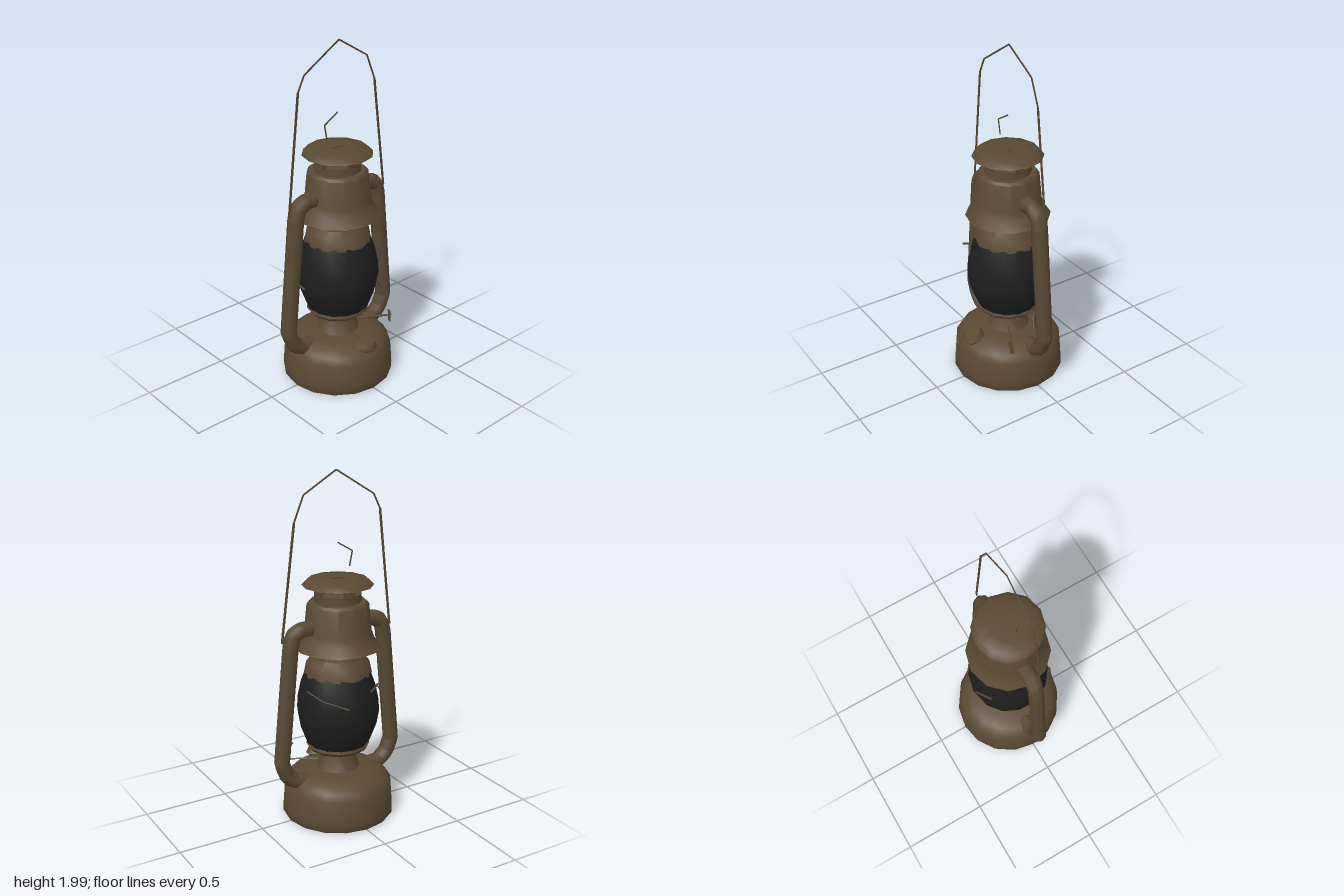
import * as THREE from 'three';
import { toCreasedNormals } from 'three/addons/utils/BufferGeometryUtils.js';

const metal = new THREE.MeshStandardMaterial({ color: 0x594933, side: THREE.DoubleSide });
metal.name = 'weathered brown metal';
const glass = new THREE.MeshStandardMaterial({ color: 0x1e1e1e, side: THREE.DoubleSide });
glass.name = 'sooty black glass';

export function createModel() {
  const model = new THREE.Group();
  model.name = 'lantern';

  const add = (name, geometry, material = metal) => {
    const mesh = new THREE.Mesh(geometry, material);
    mesh.name = name;
    model.add(mesh);
    return mesh;
  };

  // Turned part from [radius, height] pairs, bottom to top
  const turned = (name, profile, sides, material = metal) => {
    const points = profile.map(([r, y]) => new THREE.Vector2(r, y));
    return add(name, toCreasedNormals(new THREE.LatheGeometry(points, sides), 0.75), material);
  };

  // Straight flat bar between two points
  const bar = (name, a, b, width, depth) => {
    const from = new THREE.Vector3(...a), to = new THREE.Vector3(...b);
    const dir = to.clone().sub(from);
    const mesh = add(name, new THREE.BoxGeometry(width, dir.length(), depth));
    mesh.position.copy(from).add(to).multiplyScalar(0.5);
    mesh.quaternion.setFromUnitVectors(new THREE.Vector3(0, 1, 0), dir.normalize());
  };

  const bars = (name, points, width, depth) => {
    for (let i = 1; i < points.length; i++) bar(name, points[i - 1], points[i], width, depth);
  };

  // Fuel tank with a flat underside
  turned('fuelTank', [[0, 0.012], [0.315, 0.01], [0.322, 0.02], [0.322, 0.06], [0.312, 0.195],
    [0.29, 0.235], [0.25, 0.265], [0.2, 0.282], [0.12, 0.29], [0, 0.29]], 16);

  // Burner and the plate that carries the globe
  turned('burnerCone', [[0.14, 0.27], [0.125, 0.29], [0.088, 0.4], [0.09, 0.42]], 12);
  turned('globePlate', [[0.08, 0.4], [0.165, 0.41], [0.182, 0.43], [0.178, 0.445], [0.1, 0.45]], 12);

  // Globe and the collar above it
  turned('globe', [[0.168, 0.435], [0.185, 0.46], [0.222, 0.56], [0.236, 0.64], [0.232, 0.71],
    [0.213, 0.8], [0.187, 0.87]], 14, glass);
  turned('globeCollar', [[0.192, 0.86], [0.178, 0.93], [0.15, 0.965], [0.147, 1.08]], 12);

  // Chimney hood, open below
  turned('hood', [[0.24, 1.015], [0.203, 1.07], [0.188, 1.11], [0.173, 1.265], [0.16, 1.28],
    [0.132, 1.28], [0.13, 1.325], [0, 1.325]], 12);

  // Vent posts and cap
  for (let i = 0; i < 4; i++) {
    const a = i * Math.PI / 2;
    const post = add('ventPost', new THREE.BoxGeometry(0.072, 0.06, 0.012));
    post.position.set(Math.sin(a) * 0.124, 1.348, Math.cos(a) * 0.124);
    post.rotation.y = a;
  }
  turned('ventCap', [[0, 1.37], [0.185, 1.367], [0.199, 1.372], [0.17, 1.402], [0.1, 1.408], [0, 1.408]], 12);
  add('capSlot', new THREE.BoxGeometry(0.074, 0.006, 0.02)).position.set(-0.003, 1.41, 0);

  // Side air tubes
  for (const s of [1, -1]) {
    const path = new THREE.CurvePath();
    const pts = [[0.15, 1.15], [0.235, 1.148], [0.285, 1.12], [0.3, 1.06], [0.359, 0.46],
      [0.367, 0.38], [0.335, 0.3], [0.282, 0.252], [0.2, 0.245]]
      .map(([x, y]) => new THREE.Vector3(s * x, y, 0));
    for (let i = 1; i < pts.length; i++) path.add(new THREE.LineCurve3(pts[i - 1], pts[i]));
    add(s > 0 ? 'leftAirTube' : 'rightAirTube', new THREE.TubeGeometry(path, 56, 0.046, 8));
  }

  // Carrying handle: two flat legs and a finer bent top
  bar('handleLeg', [-0.345, 1.09, 0], [-0.27, 1.765, 0], 0.013, 0.005);
  bar('handleLeg', [0.352, 1.09, 0], [0.268, 1.74, 0], 0.013, 0.005);
  bars('handleTop', [[-0.27, 1.765, 0], [-0.228, 1.85, 0], [0.01, 1.997, 0],
    [0.21, 1.88, 0], [0.268, 1.74, 0]], 0.008, 0.005);

  // Thin lifting wire above the cap
  bars('liftingWire', [[-0.075, 1.465, 0], [-0.092, 1.55, 0], [0, 1.605, 0]], 0.007, 0.004);

  // Filler cap, tilted forward on the tank shoulder
  const filler = new THREE.Group();
  filler.name = 'fillerCap';
  const parts = [['fillerNeck', 0.058, 0.042, 0.07, -0.035], ['fillerLid', 0.05, 0.068, 0.03, 0.012]];
  for (const [name, top, bottom, height, y] of parts) {
    const mesh = new THREE.Mesh(toCreasedNormals(new THREE.CylinderGeometry(top, bottom, height, 8), 0.9), metal);
    mesh.name = name;
    mesh.position.y = y;
    filler.add(mesh);
  }
  filler.position.set(0, 0.277, 0.245);
  filler.rotation.x = 0.25;
  model.add(filler);

  // Wick adjuster with its thumb fin
  bar('wickRod', [0.09, 0.325, 0.06], [0.28, 0.325, 0.165], 0.008, 0.008);
  bar('wickFin', [0.262, 0.36, 0.165], [0.275, 0.28, 0.155], 0.024, 0.006);

  // Loose guard wires at the back of the globe, and small tabs
  bars('guardWire', [[0.222, 0.8, -0.04], [0.18, 0.765, -0.15], [0.07, 0.725, -0.235]], 0.006, 0.006);
  bar('guardWire', [-0.06, 0.81, -0.25], [-0.15, 0.83, -0.195], 0.008, 0.008);
  bar('guardStub', [-0.33, 0.69, 0.1], [-0.31, 0.68, 0.03], 0.008, 0.008);
  bar('leverTab', [0.29, 0.49, 0.02], [0.325, 0.44, 0.04], 0.02, 0.008);

  return model;
}
